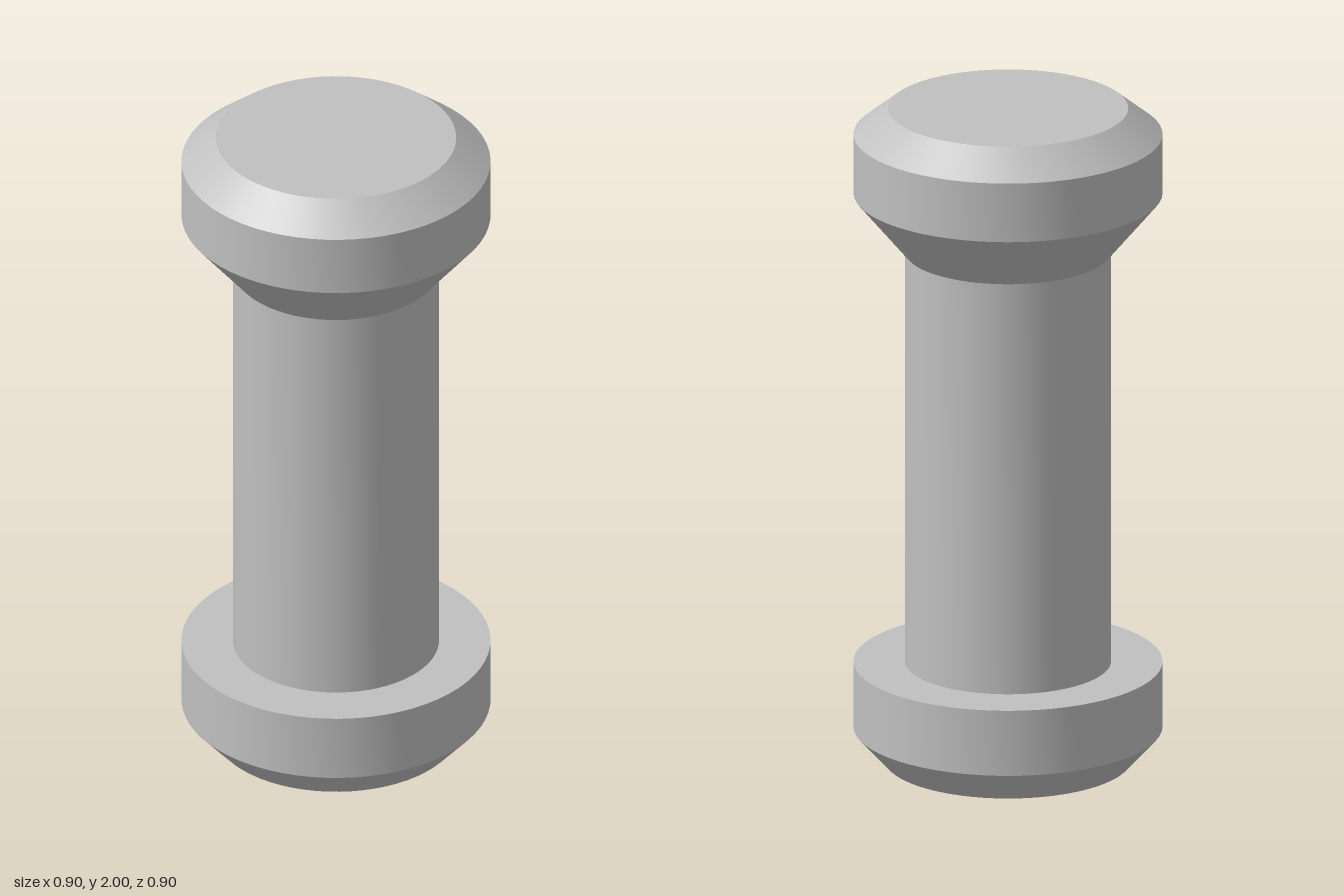
import * as THREE from 'three';
import { toCreasedNormals } from 'three/addons/utils/BufferGeometryUtils.js';

const SEGMENTS = 64;

// Turned part from [radius, height] points, bottom to top, with crisp rims
function turned(name, profile, material) {
  const points = profile.map(([r, y]) => new THREE.Vector2(r, y));
  const geometry = toCreasedNormals(new THREE.LatheGeometry(points, SEGMENTS), 0.5);
  const mesh = new THREE.Mesh(geometry, material);
  mesh.name = name;
  return mesh;
}

export function createModel() {
  const model = new THREE.Group();
  model.name = 'flangedPin';

  const grey = new THREE.MeshStandardMaterial({ color: 0xc0c0c0 });
  grey.name = 'light grey';

  // Lower flange: bevelled underside and a flat shoulder meeting the shaft
  model.add(turned('baseFlange', [[0, 0], [0.36, 0], [0.45, 0.1], [0.45, 0.3], [0.3, 0.3]], grey));

  // Straight shaft
  model.add(turned('shaft', [[0.3, 0.3], [0.3, 1.56]], grey));

  // Head: flared collar, straight rim, bevelled flat top
  model.add(turned('head', [[0.3, 1.56], [0.45, 1.74], [0.45, 1.92], [0.35, 2], [0, 2]], grey));

  return model;
}
